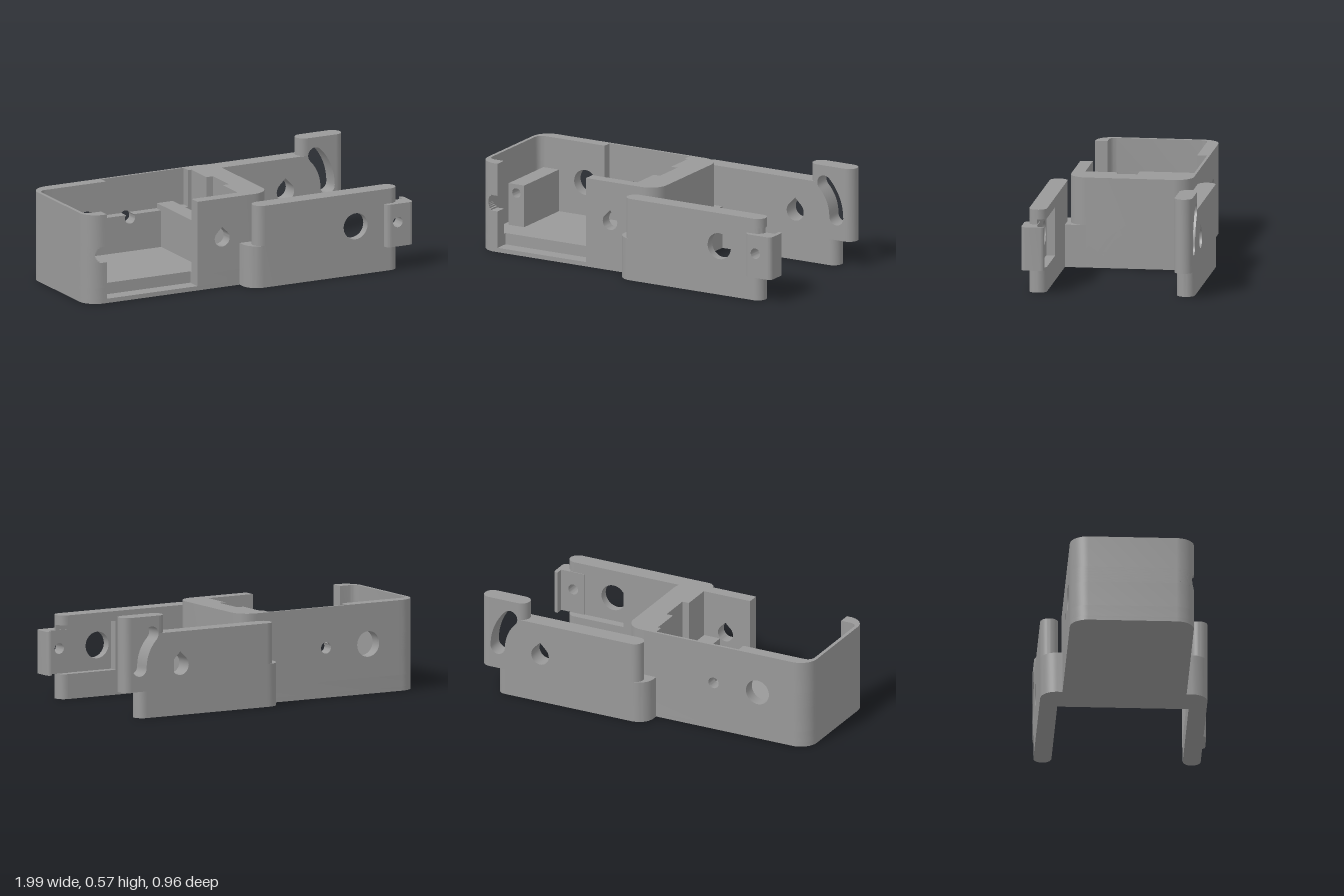
import * as THREE from 'three';
import { toCreasedNormals } from 'three/addons/utils/BufferGeometryUtils.js';

const PI = Math.PI;
const grey = new THREE.MeshStandardMaterial({ color: 0x999999 });
grey.name = 'grey plastic';

// Points along an arc, for use inside an outline
function arc(cx, cy, r, a0, a1, n = 12) {
  return Array.from({ length: n + 1 }, (_, i) => {
    const a = a0 + ((a1 - a0) * i) / n;
    return [cx + r * Math.cos(a), cy + r * Math.sin(a)];
  });
}
const rect = (x0, y0, x1, y1) => [[x0, y0], [x1, y0], [x1, y1], [x0, y1]];
const circle = (x, y, r) => arc(x, y, r, 0, 2 * PI, 32).slice(0, -1);
const teardrop = (x, y, r) => [...arc(x, y, r, 0.75 * PI, 2.25 * PI, 24), [x, y + r * Math.SQRT2]];
const toVectors = (pts) => pts.map(([x, y]) => new THREE.Vector2(x, y));

export function createModel() {
  const model = new THREE.Group();
  model.name = 'bracketHousing';

  function extrude(outline, depth, holes) {
    const shape = new THREE.Shape(toVectors(outline));
    holes.forEach((h) => shape.holes.push(new THREE.Path(toVectors(h))));
    return new THREE.ExtrudeGeometry(shape, { depth, bevelEnabled: false });
  }
  function add(name, geometry) {
    const mesh = new THREE.Mesh(toCreasedNormals(geometry, 0.5), grey);
    mesh.name = name;
    model.add(mesh);
  }
  // Outline in x, z raised from y0 to y1
  const plan = (name, outline, y0, y1) =>
    add(name, extrude(outline, y1 - y0, []).rotateX(PI / 2).translate(0, y1, 0));
  // Outline in x, y running from z0 to z1
  const panel = (name, outline, z0, z1, ...holes) =>
    add(name, extrude(outline, z1 - z0, holes).translate(0, 0, z0));

  // Housing floor, with a lower ledge at the front opening
  const body = [
    ...arc(0.05, 0.23, 0.1, 0, PI / 2), ...arc(-0.9, 0.23, 0.1, PI / 2, PI),
    ...arc(-0.9, -0.26, 0.1, PI, 1.5 * PI), ...arc(0.05, -0.26, 0.1, 1.5 * PI, 2 * PI),
  ];
  plan('floorPlate', body, 0, 0.025);
  plan('floor', [
    ...arc(0.05, 0.23, 0.1, 0, PI / 2), [-0.31, 0.33], [-0.31, 0.245], [-0.88, 0.245], [-0.88, 0.33],
    ...arc(-0.9, 0.23, 0.1, PI / 2, PI), ...arc(-0.9, -0.26, 0.1, PI, 1.5 * PI),
    ...arc(0.05, -0.26, 0.1, 1.5 * PI, 2 * PI),
  ], 0.025, 0.09);

  // Thin end wall wrapping both corners; its front lip stops at xEnd
  function endWall(xEnd, y0, y1) {
    const onArc = xEnd < -0.9;
    const start = onArc ? Math.acos((xEnd + 0.9) / 0.1) : PI / 2;
    plan('endWall', [
      ...(onArc ? [] : [[xEnd, 0.33]]),
      ...arc(-0.9, 0.23, 0.1, start, PI), ...arc(-0.9, -0.26, 0.1, PI, 1.5 * PI),
      [-0.88, -0.36], [-0.88, -0.29],
      ...arc(-0.94, -0.25, 0.04, 1.5 * PI, PI, 6), ...arc(-0.94, 0.22, 0.04, PI, PI / 2, 6)
        .filter(([x]) => x < xEnd - 0.001),
      [xEnd, 0.26],
    ], y0, y1);
  }
  endWall(-0.88, 0.09, 0.235);
  endWall(-0.88, 0.325, 0.51);
  // Round screw bite in the front lip, in thin slices
  const slices = 10;
  for (let i = 0; i < slices; i++) {
    const y0 = 0.235 + (0.09 * i) / slices;
    const dy = y0 + 0.0045 - 0.28;
    endWall(-0.9 - Math.sqrt(0.047 ** 2 - dy * dy), y0, y0 + 0.09 / slices);
  }

  // Back wall: thin outer skin and pocketed inner layer
  const bigHole = circle(-0.68, 0.28, 0.072);
  panel('backWallSkin', rect(-0.88, 0.09, -0.02, 0.51), -0.36, -0.345, bigHole, circle(-0.405, 0.28, 0.032));
  panel('backWallInner', [
    [-0.88, 0.09], [-0.02, 0.09], [-0.02, 0.51], [-0.04, 0.51], [-0.04, 0.3],
    ...arc(-0.405, 0.28, 0.032, 0.215 * PI, -1.215 * PI, 20),
    [-0.555, 0.3], [-0.555, 0.51], [-0.88, 0.51],
  ], -0.345, -0.29, bigHole);

  // Front wall and thick end block
  panel('frontWall', rect(-0.31, 0.09, -0.02, 0.51), 0.26, 0.33, teardrop(-0.155, 0.28, 0.047));
  plan('endBlock', [
    [-0.02, 0.33], [-0.02, 0.08], [0.02, 0.08], [0.02, -0.11], [-0.02, -0.11], [-0.02, -0.36],
    ...arc(0.05, -0.26, 0.1, 1.5 * PI, 2 * PI), ...arc(0.05, 0.23, 0.1, 0, PI / 2),
  ], 0.09, 0.51);

  // Screw posts inside the housing
  panel('screwPost', rect(-0.95, 0.09, -0.85, 0.33), -0.29, 0.09, circle(-0.9, 0.28, 0.027));
  panel('screwPost', rect(-0.21, 0.09, -0.11, 0.33), -0.34, 0.09, circle(-0.155, 0.28, 0.027));

  // Low foot joining housing and arms
  plan('footCentre', rect(0.05, -0.36, 0.15, 0.33), 0, 0.24);
  plan('footFront', [[-0.045, 0.3], [0.15, 0.3], [0.15, 0.45], ...arc(0.045, 0.36, 0.09, PI / 2, PI)], 0, 0.24);
  plan('footBack', [[-0.045, -0.33], ...arc(0.045, -0.39, 0.09, PI, 1.5 * PI), [0.15, -0.48], [0.15, -0.33]], 0, 0.24);

  // Half-round arm ends, dir +1 for the tip and -1 for the root
  const armEnd = (name, x, z, dir, y0, y1) =>
    plan(name, arc(x, z, 0.05, (-dir * PI) / 2, (-dir * PI) / 2 + PI, 16), y0, y1);

  // Back arm with slotted tail plate
  armEnd('backArmRoot', 0.05, -0.43, -1, 0, 0.47);
  panel('backArm', [[0.05, 0], [0.84, 0], [0.84, 0.15], [0.76, 0.15], [0.76, 0.47], [0.05, 0.47]],
    -0.48, -0.38, teardrop(0.62, 0.28, 0.055));
  armEnd('backArmTip', 0.84, -0.43, 1, 0, 0.15);
  const R = 0.265, w = 0.045, q = PI / 4;
  const slot = [
    ...arc(0.62, 0.28, R + w, 0, q),
    ...arc(0.62 + R * Math.cos(q), 0.28 + R * Math.sin(q), w, q, q + PI).slice(1, -1),
    ...arc(0.62, 0.28, R - w, q, 0),
    ...arc(0.62 + R, 0.28, w, PI, 2 * PI).slice(1, -1),
  ];
  panel('tailPlate', rect(0.76, 0.15, 0.94, 0.57), -0.48, -0.38, slot);
  armEnd('tailEdge', 0.76, -0.43, -1, 0.15, 0.57);
  armEnd('tailEdge', 0.94, -0.43, 1, 0.15, 0.57);

  // Front arm with a recess on its inner face
  const pivot = circle(0.62, 0.28, 0.075);
  armEnd('frontArmRoot', 0.05, 0.4, -1, 0, 0.47);
  panel('frontArmOuter', [
    [0.05, 0], [0.84, 0], [0.84, 0.14], [0.8, 0.14], [0.8, 0.385], [0.84, 0.385], [0.84, 0.47], [0.05, 0.47],
  ], 0.4, 0.45, pivot);
  panel('frontArmInner', [
    [0.05, 0], [0.84, 0], [0.84, 0.14], [0.53, 0.14], [0.53, 0.415], [0.84, 0.415], [0.84, 0.47], [0.05, 0.47],
  ], 0.35, 0.4);
  armEnd('frontArmTip', 0.84, 0.4, 1, 0, 0.14);
  armEnd('frontArmTip', 0.84, 0.4, 1, 0.415, 0.47);
  plan('frontArmTip', [[0.84, 0.4], ...arc(0.84, 0.4, 0.05, 0, PI / 2)], 0.385, 0.415);

  // Tab at the front arm's tip, with an inward lip
  panel('tab', rect(0.83, 0.14, 0.945, 0.385), 0.395, 0.48, circle(0.87, 0.28, 0.03));
  plan('tabEdge', [[0.8, 0.395], [0.83, 0.395], [0.83, 0.48], ...arc(0.83, 0.45, 0.03, PI / 2, PI, 8)], 0.14, 0.385);
  plan('tabLip', [
    [0.945, 0.35], ...arc(0.95, 0.37, 0.02, -PI / 2, 0, 6), ...arc(0.945, 0.455, 0.025, 0, PI / 2, 8),
  ], 0.14, 0.385);

  // Centre the depth
  model.children.forEach((m) => m.geometry.computeBoundingBox());
  return model;
}
